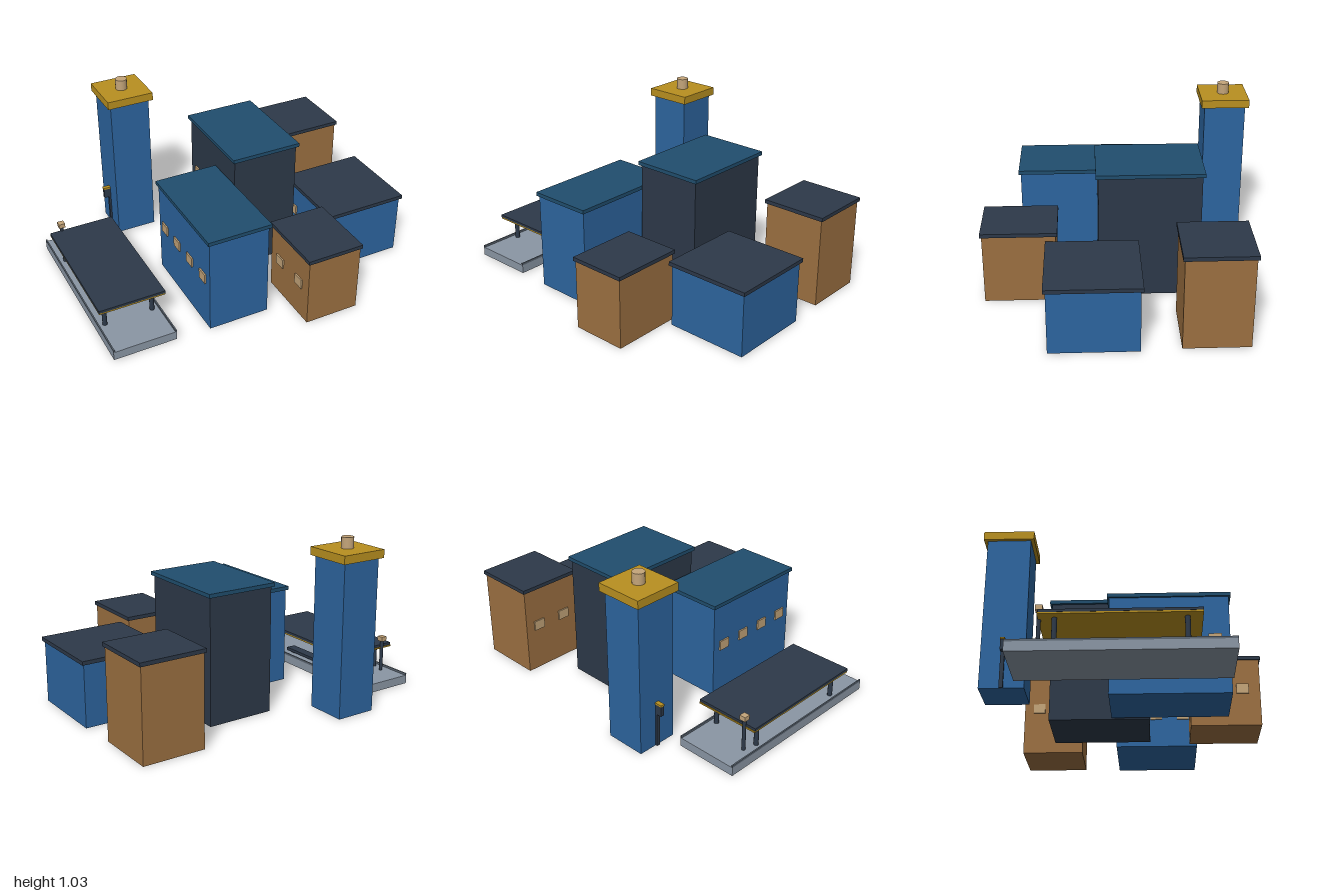
import * as THREE from 'three';

const material = (name, color) => {
  const m = new THREE.MeshStandardMaterial({ color });
  m.name = name;
  return m;
};

export function createModel() {
  const blue = material('wallBlue', 0x2d659f);
  const teal = material('roofTeal', 0x204e6e);
  const navy = material('darkNavy', 0x2d3949);
  const brown = material('wallBrown', 0x9c7041);
  const gold = material('gold', 0xb99020);
  const tan = material('tan', 0xc4a57a);
  const grey = material('platformGrey', 0x8a96a4);
  const rail = material('railGrey', 0x5d6874);

  const model = new THREE.Group();
  model.name = 'town';

  const group = (name) => {
    const g = new THREE.Group();
    g.name = name;
    model.add(g);
    return g;
  };

  // Box given by its limits on each axis
  const box = (parent, name, mat, [x0, x1], [y0, y1], [z0, z1]) => {
    const mesh = new THREE.Mesh(new THREE.BoxGeometry(x1 - x0, y1 - y0, z1 - z0), mat);
    mesh.name = name;
    mesh.position.set((x0 + x1) / 2, (y0 + y1) / 2, (z0 + z1) / 2);
    parent.add(mesh);
    return mesh;
  };

  const post = (parent, name, mat, r, x, z, y0, y1, sides = 12) => {
    const mesh = new THREE.Mesh(new THREE.CylinderGeometry(r, r, y1 - y0, sides), mat);
    mesh.name = name;
    mesh.position.set(x, (y0 + y1) / 2, z);
    parent.add(mesh);
  };

  // Houses: walls, overhanging flat roof, row of windows on the -x wall
  const houses = [
    { name: 'longHouse', wall: blue, roof: teal, x: [-0.405, -0.035], z: [-0.09, 0.588], h: 0.588, over: 0.012, windows: 4 },
    { name: 'tallHouse', wall: navy, roof: teal, x: [-0.012, 0.4], z: [-0.458, 0.13], h: 0.752, over: 0.014, windows: 3 },
    { name: 'frontHouse', wall: brown, roof: navy, x: [0.112, 0.446], z: [0.374, 0.794], h: 0.419, over: 0.009, windows: 2 },
    { name: 'wideHouse', wall: blue, roof: navy, x: [0.485, 0.982], z: [-0.082, 0.421], h: 0.377, over: 0.013, windows: 3 },
    { name: 'backHouse', wall: brown, roof: navy, x: [0.588, 0.964], z: [-0.684, -0.306], h: 0.543, over: 0.01, windows: 2 },
  ];
  for (const { name, wall, roof, x, z, h, over, windows } of houses) {
    const g = group(name);
    box(g, 'walls', wall, x, [0, h], z);
    box(g, 'roof', roof, [x[0] - over, x[1] + over], [h, h + 0.023], [z[0] - over, z[1] + over]);
    const step = (z[1] - z[0]) / windows;
    for (let i = 0; i < windows; i++) {
      const c = z[0] + step * (i + 0.5);
      box(g, 'window', tan, [x[0] - 0.009, x[0]], [h * 0.55 - 0.03, h * 0.55 + 0.03], [c - 0.037, c + 0.037]);
    }
  }

  // Tower with cap, chimney and a wall-mounted signal
  const tower = group('tower');
  box(tower, 'towerWalls', blue, [-0.51, -0.262], [0, 0.914], [-0.786, -0.537]);
  box(tower, 'towerCap', gold, [-0.531, -0.24], [0.914, 0.963], [-0.807, -0.517]);
  post(tower, 'chimney', tan, 0.036, -0.386, -0.662, 0.963, 1.028, 16);
  box(tower, 'signalPost', navy, [-0.522, -0.508], [0, 0.21], [-0.673, -0.651]);
  box(tower, 'signalBox', navy, [-0.553, -0.508], [0.21, 0.272], [-0.673, -0.651]);
  box(tower, 'signalLid', gold, [-0.556, -0.508], [0.272, 0.283], [-0.675, -0.649]);

  // Platform with edge rails
  const platform = group('platform');
  box(platform, 'platformSlab', grey, [-0.99, -0.61], [0, 0.053], [-0.58, 0.58]);
  for (const x of [-0.99, -0.618]) {
    box(platform, 'edgeRail', rail, [x, x + 0.008], [0.053, 0.066], [-0.58, 0.58]);
  }

  // Shelter: canopy on four posts
  const shelter = group('shelter');
  box(shelter, 'canopyRoof', navy, [-1, -0.6], [0.207, 0.223], [-0.415, 0.415]);
  box(shelter, 'canopyTrim', gold, [-0.999, -0.601], [0.198, 0.207], [-0.42, 0.414]);
  for (const x of [-0.945, -0.655]) {
    for (const z of [-0.335, 0.335]) post(shelter, 'canopyPost', navy, 0.014, x, z, 0.053, 0.2);
  }

  // Bench
  box(shelter, 'benchSeat', navy, [-0.717, -0.655], [0.066, 0.084], [-0.2, 0.2]);
  for (const z of [-0.16, 0.16]) {
    box(shelter, 'benchLeg', navy, [-0.695, -0.675], [0.053, 0.066], [z - 0.015, z + 0.015]);
  }

  // Lamp at the shelter end
  const lamp = group('lamp');
  post(lamp, 'lampPost', navy, 0.011, -0.925, -0.417, 0.053, 0.25);
  box(lamp, 'lampHead', tan, [-0.944, -0.906], [0.249, 0.277], [-0.436, -0.398]);

  return model;
}
